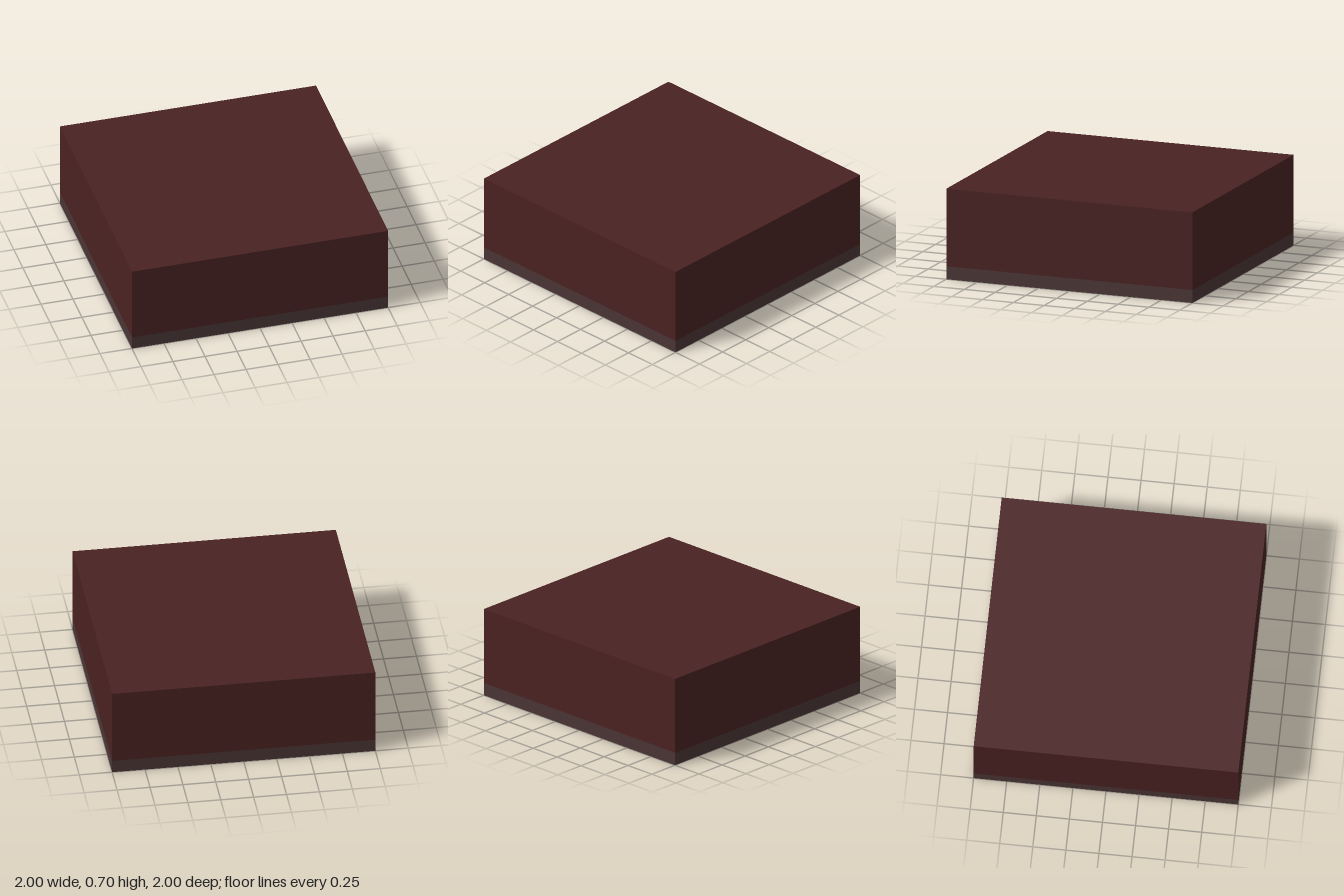
import * as THREE from 'three';

const bodyRed = new THREE.MeshStandardMaterial({ color: 0x4a2222 });
bodyRed.name = 'dark red';
const trim = new THREE.MeshStandardMaterial({ color: 0x4b3535 });
trim.name = 'grey brown';

// Square turned form: profile of [half width, y], outside running upwards
function squareTurn(name, profile, material) {
  const points = profile.map(([half, y]) => new THREE.Vector2(half * Math.SQRT2, y));
  const geometry = new THREE.LatheGeometry(points, 4, Math.PI / 4).toNonIndexed();
  geometry.computeVertexNormals();
  const mesh = new THREE.Mesh(geometry, material);
  mesh.name = name;
  return mesh;
}

function box(name, w, h, d, x, y, z) {
  const mesh = new THREE.Mesh(new THREE.BoxGeometry(w, h, d), trim);
  mesh.name = name;
  mesh.position.set(x, y, z);
  return mesh;
}

export function createModel() {
  const model = new THREE.Group();
  model.name = 'cofferedBlock';

  // Upper block: four walls and the roof
  model.add(squareTurn('upperBlock', [[1, 0.1], [1, 0.7], [0, 0.7]], bodyRed));

  // Base band and stepped recess rising towards the middle of the underside
  const steps = 5, rise = 0.078;
  const profile = [[0, steps * rise]];
  for (let i = steps - 1; i >= 0; i--) {
    const half = 0.95 - 0.2 * i;
    profile.push([half, (i + 1) * rise], [half, i * rise]);
  }
  profile.push([1, 0], [1, 0.1]);
  model.add(squareTurn('steppedBase', profile, trim));

  // Hanging lamp in the centre
  const lamp = new THREE.Group();
  lamp.name = 'hangingLamp';
  lamp.add(squareTurn('lampPlate', [
    [0, 0.012], [0.055, 0.012], [0.055, 0], [0.1, 0], [0.1, 0.05], [0, 0.05],
  ], trim));
  for (const x of [-0.02, 0.02]) {
    for (const z of [-0.02, 0.02]) {
      lamp.add(box('lampRod', 0.026, 0.35, 0.026, x, 0.22, z));
    }
  }
  lamp.add(box('lowerCollar', 0.075, 0.02, 0.075, 0, 0.15, 0));
  lamp.add(box('upperCollar', 0.075, 0.02, 0.075, 0, 0.29, 0));
  model.add(lamp);

  return model;
}
